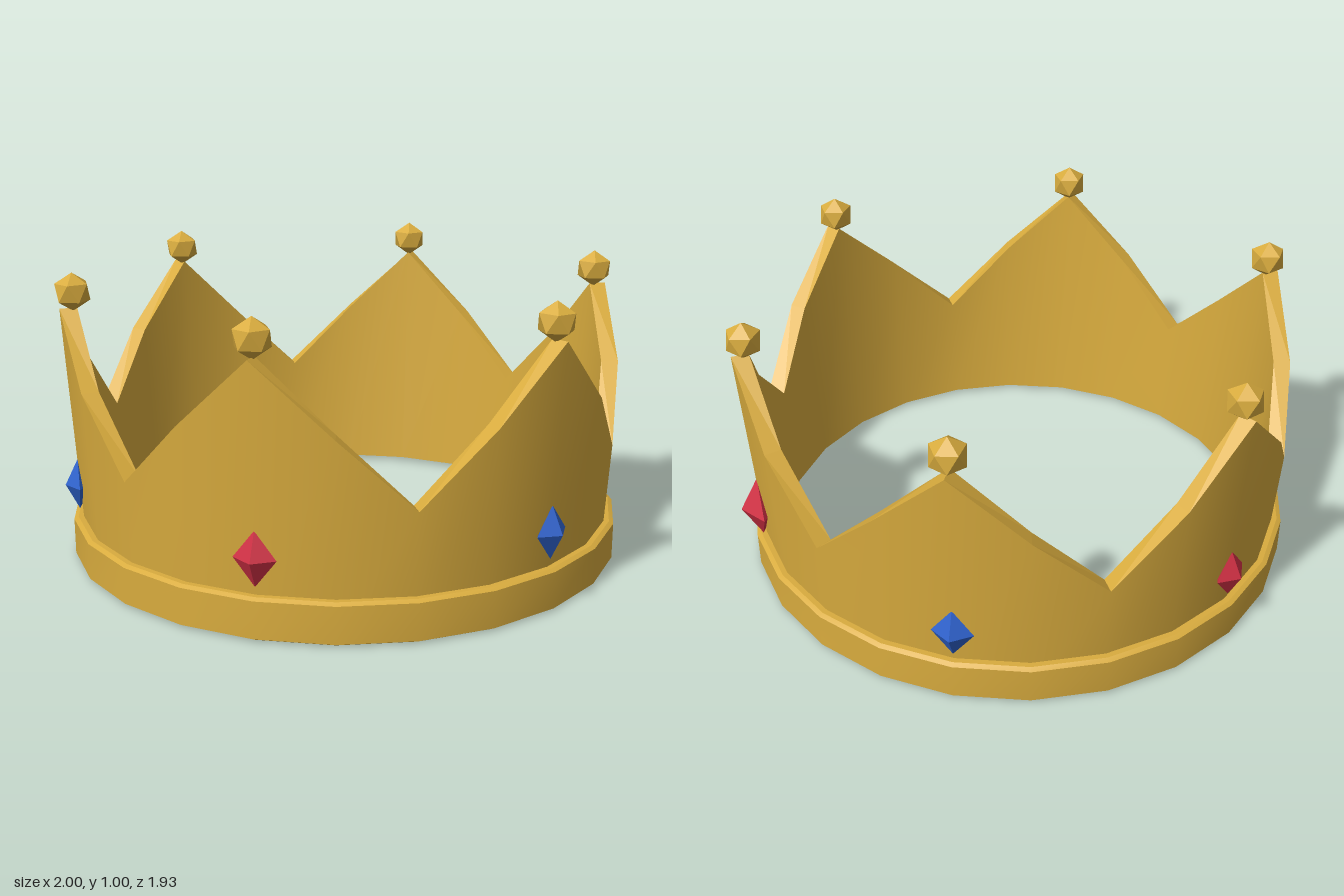
import * as THREE from 'three';
import { mergeGeometries } from 'three/addons/utils/BufferGeometryUtils.js';

const SEGMENTS = 24;
const POINTS = 6;

// Closed strip between two rings; each ring maps an angle to [radius, height]
function strip(ringA, ringB, flat) {
  const pos = [], idx = [];
  for (const ring of [ringA, ringB]) {
    for (let i = 0; i < SEGMENTS; i++) {
      const a = (i / SEGMENTS) * Math.PI * 2;
      const [r, y] = ring(a);
      pos.push(r * Math.cos(a), y, r * Math.sin(a));
    }
  }
  for (let i = 0; i < SEGMENTS; i++) {
    const j = (i + 1) % SEGMENTS;
    idx.push(i, SEGMENTS + i, j, j, SEGMENTS + i, SEGMENTS + j);
  }
  const geo = new THREE.BufferGeometry();
  geo.setAttribute('position', new THREE.Float32BufferAttribute(pos, 3));
  geo.setIndex(idx);
  const out = flat ? geo.toNonIndexed() : geo;
  out.computeVertexNormals();
  return flat ? out : out.toNonIndexed();
}

// Sweep a closed profile round the crown: smooth around, sharp across
function ringSolid(rings, flatStrips = []) {
  return mergeGeometries(rings.map((ring, i) =>
    strip(ring, rings[(i + 1) % rings.length], flatStrips.includes(i))));
}

export function createModel() {
  const gold = new THREE.MeshStandardMaterial({ color: 0xd9ac3e });
  gold.name = 'gold';
  const goldFacet = gold;
  const red = new THREE.MeshStandardMaterial({ color: 0xd03044 });
  red.name = 'ruby red';
  const blue = new THREE.MeshStandardMaterial({ color: 0x2e62cc });
  blue.name = 'sapphire blue';

  const crown = new THREE.Group();
  crown.name = 'crown';
  const add = (name, geo, mat, parent = crown) => {
    const mesh = new THREE.Mesh(geo, mat);
    mesh.name = name;
    parent.add(mesh);
    return mesh;
  };

  // Flared wall with a zigzag top edge
  const bottom = 0.013, valley = 0.415, peak = 0.88;
  const topHeight = (a) => {
    const t = (a / (Math.PI * 2)) * POINTS;
    return valley + (peak - valley) * 2 * Math.abs(t - Math.floor(t) - 0.5);
  };
  const outer = (y) => 0.925 + 0.06 * y;
  const inner = (y) => 0.866 + 0.06 * y;
  add('wall', ringSolid([
    () => [inner(bottom), bottom],
    () => [outer(bottom), bottom],
    (a) => [outer(topHeight(a)), topHeight(a)],
    (a) => [inner(topHeight(a)), topHeight(a)],
  ], [2]), gold);

  // Bevelled band round the foot
  const bandProfile = [[0.918, 0], [0.952, 0], [0.967, 0.008], [0.967, 0.132], [0.952, 0.14], [0.918, 0.14]];
  add('baseBand', ringSolid(bandProfile.map((p) => () => p)), gold);

  // Faceted balls on the points, standing on a vertex
  const ballGeo = new THREE.IcosahedronGeometry(0.065, 0);
  ballGeo.rotateZ(Math.atan(2 / (1 + Math.sqrt(5))));
  // Unit gem, stretched per stone
  const gemGeo = new THREE.OctahedronGeometry(1, 0);

  for (let i = 0; i < POINTS; i++) {
    const a = (i / POINTS) * Math.PI * 2;
    const c = Math.cos(a), s = Math.sin(a);

    add('tipBall', ballGeo, goldFacet).position.set(0.932 * c, 0.935, 0.932 * s);

    // Stones alternate in colour; the first is larger
    const gem = add(i === 0 ? 'largeGem' : 'gem', gemGeo, i % 2 ? blue : red);
    if (i === 0) gem.scale.set(0.065, 0.12, 0.095);
    else gem.scale.set(0.045, 0.09, 0.07);
    gem.position.set(0.945 * c, 0.26, 0.945 * s);
    gem.rotation.y = -a;
  }

  crown.position.x = -0.008;
  const model = new THREE.Group();
  model.name = 'crownModel';
  model.add(crown);
  return model;
}
